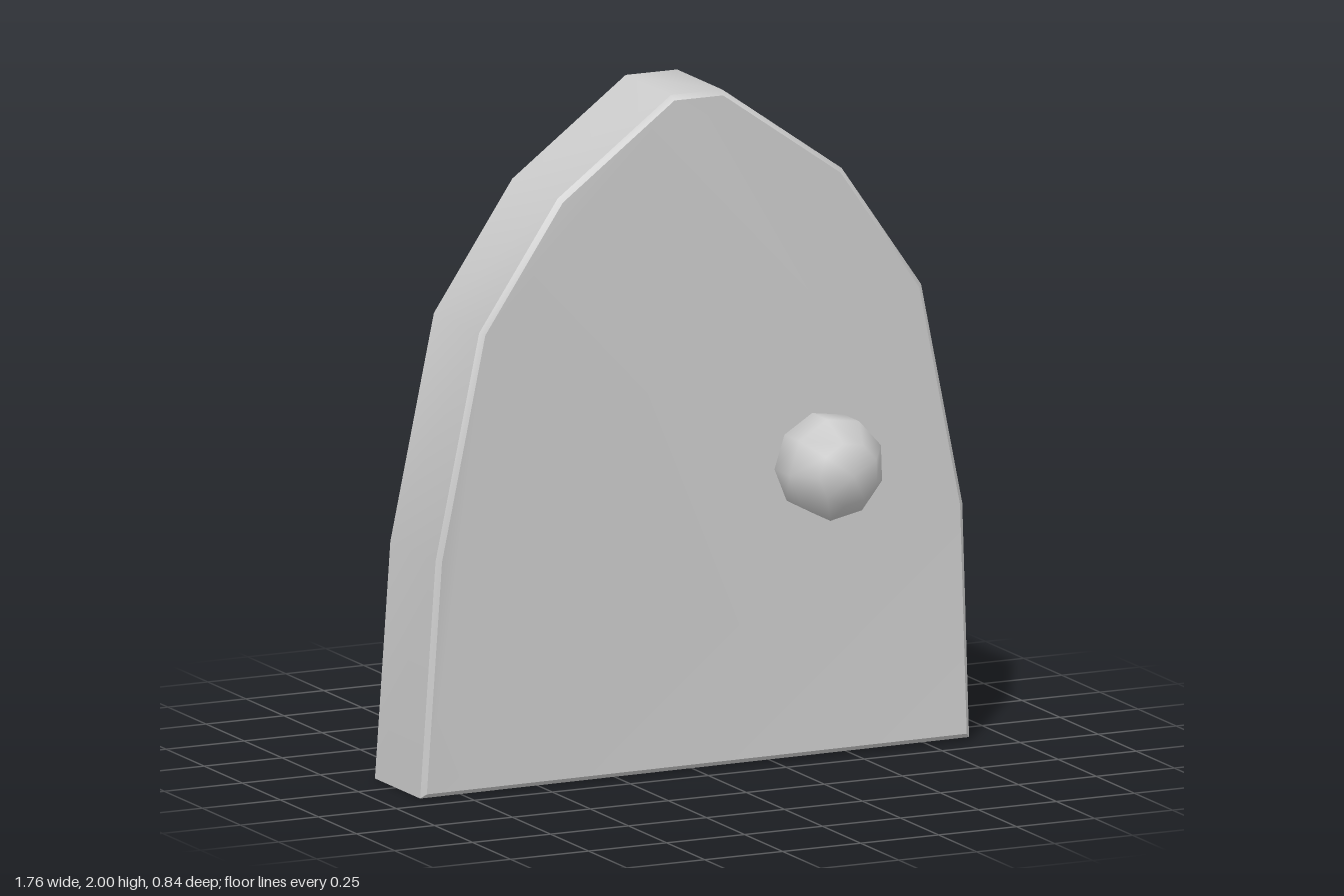
import * as THREE from 'three';
import { toCreasedNormals } from 'three/addons/utils/BufferGeometryUtils.js';

export function createModel() {
  const model = new THREE.Group();
  const material = new THREE.MeshStandardMaterial({ color: 0xcccccc });

  // Arched slab with a thin chamfer on both faces
  const outline = [
    [-0.88, 0], [0.88, 0.01], [0.865, 0.7], [0.73, 1.36], [0.47, 1.73],
    [0.085, 2], [-0.08, 2], [-0.445, 1.73], [-0.7, 1.36], [-0.84, 0.7],
  ].map(([x, y]) => new THREE.Vector2(x, y));
  const bevel = 0.014;
  let slab = new THREE.ExtrudeGeometry(new THREE.Shape(outline), {
    depth: 0.325 - 2 * bevel, bevelEnabled: true, bevelSegments: 1,
    bevelSize: bevel, bevelThickness: bevel, bevelOffset: -bevel,
  });
  slab.translate(0, 0, bevel - 0.1425);

  // Slight warp: the faces lean back towards +x, most of all at mid height
  const pos = slab.attributes.position;
  for (let i = 0; i < pos.count; i++) {
    const x = pos.getX(i), y = pos.getY(i);
    const bow = Math.sin(Math.PI * Math.min(1, y / 2));
    pos.setZ(i, pos.getZ(i) - x * 0.022 * bow - (1 - Math.min(1, y / 2)) * 0.008);
  }
  slab = toCreasedNormals(slab, 0.7);
  const door = new THREE.Mesh(slab, material);
  door.name = 'doorPanel';
  model.add(door);

  // Faceted knobs, poles along z, one on each face
  const knob = new THREE.SphereGeometry(0.16, 9, 5);
  knob.rotateX(Math.PI / 2);
  knob.rotateZ(THREE.MathUtils.degToRad(2));
  for (const [name, z] of [['frontKnob', 0.257], ['backKnob', -0.26]]) {
    const mesh = new THREE.Mesh(knob, material);
    mesh.name = name;
    mesh.position.set(0.385, 0.878, z);
    model.add(mesh);
  }
  return model;
}
